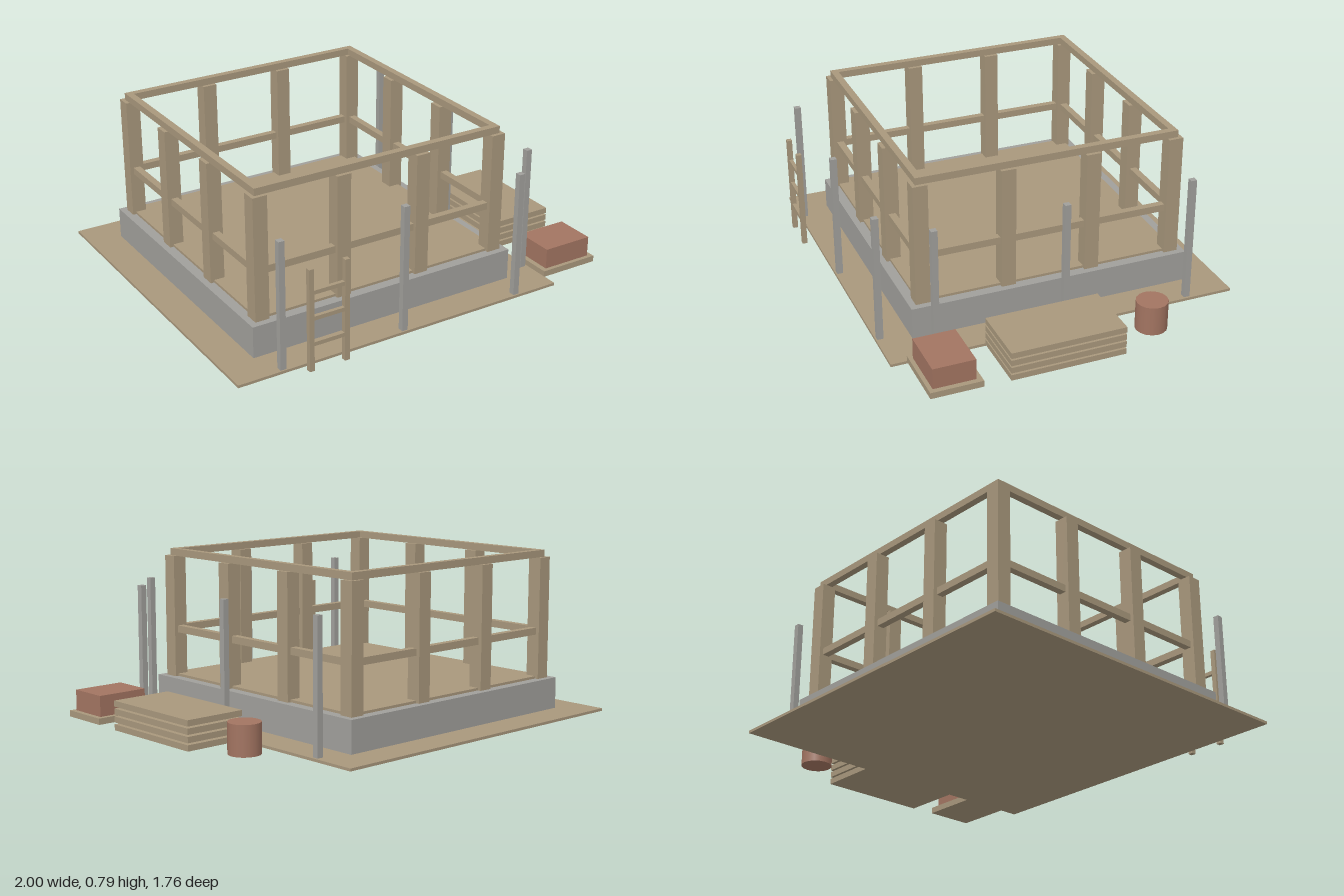
import * as THREE from 'three';

export function createModel() {
  const model = new THREE.Group();
  model.name = 'timberFrameSite';

  const material = (name, color) => {
    const m = new THREE.MeshStandardMaterial({ color });
    m.name = name;
    return m;
  };
  const timber = material('timber', 0xa8977c);
  const concrete = material('concrete', 0xa09f9b);
  const brick = material('brick', 0xa27461);

  // Box given by its size, its centre in x and z, and its underside
  const box = (name, mat, w, h, d, x, y, z, parent = model) => {
    const mesh = new THREE.Mesh(new THREE.BoxGeometry(w, h, d), mat);
    mesh.name = name;
    mesh.position.set(x, y + h / 2, z);
    parent.add(mesh);
    return mesh;
  };
  const group = (name) => {
    const g = new THREE.Group();
    g.name = name;
    model.add(g);
    return g;
  };

  // Centre of the building and the half span between corner posts
  const cx = -0.152, cz = -0.034, half = 0.622;

  // Ground sheet, foundation and floor
  box('groundSheet', timber, 1.695, 0.013, 1.695, cx, 0, -0.037);
  box('foundation', concrete, 1.375, 0.16, 1.375, cx, 0.005, cz);
  box('floorDeck', timber, 1.28, 0.012, 1.28, cx, 0.165, cz);

  // Posts: four along each side, corners shared
  const frame = group('wallFrame');
  for (let i = 0; i < 4; i++) {
    for (let j = 0; j < 4; j++) {
      if (i % 3 !== 0 && j % 3 !== 0) continue;
      const x = cx - half + (i * 2 * half) / 3;
      const z = cz - half + (j * 2 * half) / 3;
      box('post', timber, 0.07, 0.59, 0.07, x, 0.165, z, frame);
    }
  }

  // Middle and top rails on all four sides
  const t = 0.034;
  for (const [name, y] of [['middleRail', 0.381], ['topRail', 0.755]]) {
    for (const s of [-1, 1]) {
      box(name, timber, 2 * half + t, t, t, cx, y, cz + s * half, frame);
      box(name, timber, t, t, 2 * half - t, cx + s * half, y, cz, frame);
    }
  }

  // Scaffold poles along the front and the left side
  const poles = group('scaffoldPoles');
  for (const k of [-1, 0, 1]) {
    box('pole', concrete, 0.029, 0.614, 0.029, cx + k * 0.624, 0.012, 0.789, poles);
    box('pole', concrete, 0.029, 0.614, 0.029, 0.67, 0.012, cz + k * 0.624, poles);
  }

  // Ladder at the front
  const ladder = group('ladder');
  for (const s of [-1, 1]) {
    box('ladderRail', timber, 0.024, 0.49, 0.024, -0.59 + s * 0.088, 0.012, 0.866, ladder);
  }
  for (const y of [0.131, 0.255, 0.379]) {
    box('rung', timber, 0.16, 0.019, 0.018, -0.59, y, 0.866, ladder);
  }

  // Stack of boards
  const boards = group('boardStack');
  for (let i = 0; i < 4; i++) {
    box('board', timber, 0.305, 0.028, 0.55, 0.847, 0.007 + i * 0.037, 0.09, boards);
  }

  // Bricks on a pallet
  box('pallet', timber, 0.305, 0.03, 0.245, 0.847, 0.01, 0.613);
  box('brickPile', brick, 0.255, 0.1, 0.2, 0.847, 0.04, 0.616);

  // Barrel
  const barrel = new THREE.Mesh(new THREE.CylinderGeometry(0.075, 0.075, 0.142, 16), brick);
  barrel.name = 'barrel';
  barrel.position.set(0.847, 0.081, -0.385);
  model.add(barrel);

  return model;
}
